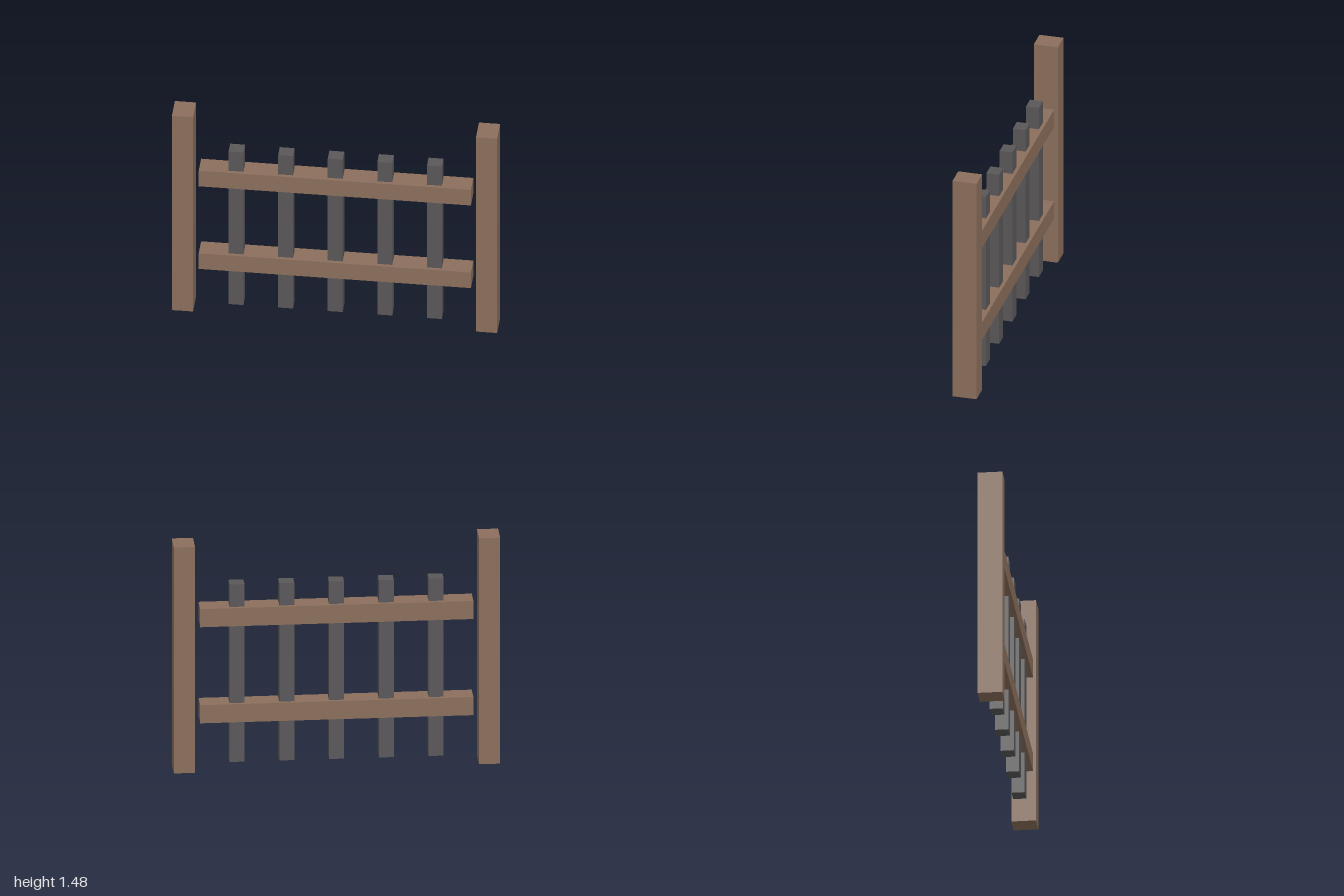
import * as THREE from 'three';

export function createModel() {
  const fence = new THREE.Group();
  fence.name = 'fence';
  const wood = new THREE.MeshStandardMaterial({ color: 0x8b6f5c });
  const iron = new THREE.MeshStandardMaterial({ color: 0x5a5759 });

  // Box spanning y0..y1, centred on x and z = 0
  const addBeam = (name, material, x, y0, y1, width, depth) => {
    const mesh = new THREE.Mesh(new THREE.BoxGeometry(width, y1 - y0, depth), material);
    mesh.position.set(x, (y0 + y1) / 2, 0);
    mesh.name = name;
    fence.add(mesh);
  };

  // End posts
  addBeam('leftPost', wood, 0.935, 0, 1.484, 0.13, 0.152);
  addBeam('rightPost', wood, -0.935, 0, 1.484, 0.13, 0.152);

  // Horizontal rails, stopping just short of the posts
  addBeam('lowerRail', wood, 0, 0.318, 0.437, 1.674, 0.123);
  addBeam('upperRail', wood, 0, 0.949, 1.068, 1.674, 0.123);

  // Upright bars passing through both rails
  for (let i = -2; i <= 2; i++) {
    addBeam(`bar${i + 3}`, iron, i * 0.305, 0.05, 1.215, 0.092, 0.081);
  }
  return fence;
}
